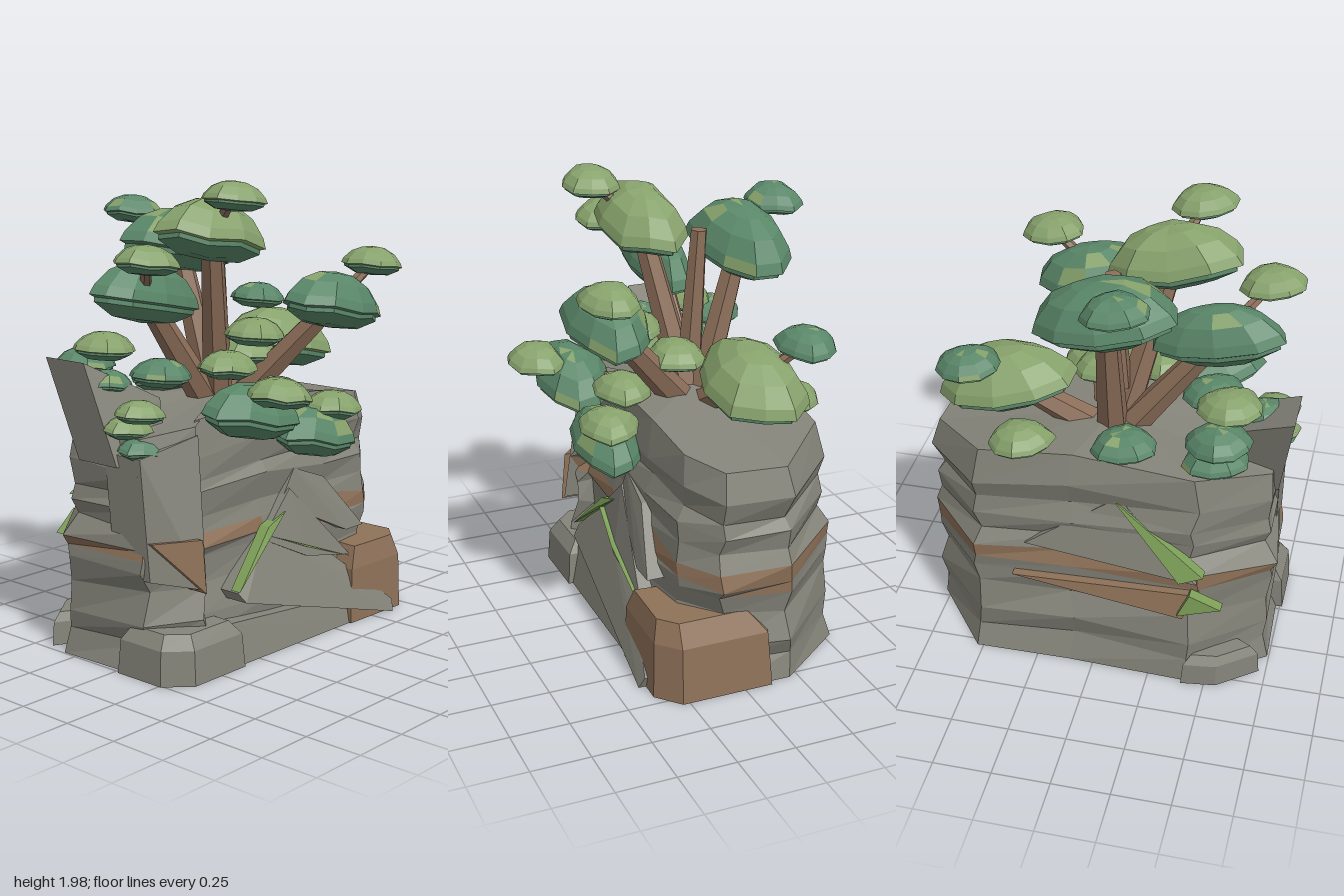
import * as THREE from 'three';
import { ConvexGeometry } from 'three/addons/geometries/ConvexGeometry.js';

const mat = (name, color) => {
  const m = new THREE.MeshStandardMaterial({ color });
  m.name = name;
  return m;
};
const stone = mat('grey stone', 0x85847a);
const clay = mat('brown stone', 0x8f7259);
const bark = mat('bark', 0x8d6f5a);
const darkLeaf = mat('dark green leaves', 0x5a8769);
const lightLeaf = mat('light green leaves', 0x87a26c);
const grass = mat('grass', 0x7d9f58);

let seed = 7;
const rnd = () => (seed = (seed * 16807) % 2147483647) / 2147483647;
const vec = (a) => new THREE.Vector3(...a);

// Faceted copy of a geometry
function facet(geo) {
  const g = geo.index ? geo.toNonIndexed() : geo;
  g.computeVertexNormals();
  return g;
}

export function createModel() {
  seed = 7;
  const root = new THREE.Group();
  root.name = 'cliffWithTree';
  const add = (name, geo, material) => {
    const m = new THREE.Mesh(geo, material);
    m.name = name;
    root.add(m);
    return m;
  };

  // Main cliff: uneven stone layers stacked on one outline of [x, z]
  const outline = [[-0.71, 0.1], [-0.52, 0.24], [-0.47, 0.18], [-0.1, 0.22], [0.3, 0.22], [0.6, 0.2],
    [0.76, 0.08], [0.78, -0.22], [0.52, -0.52], [0.1, -0.53], [-0.43, -0.56], [-0.73, -0.32]];
  const heights = [0, 0.12, 0.21, 0.34, 0.43, 0.48, 0.55, 0.62, 0.7, 0.77, 0.86, 1];
  const n = outline.length, last = heights.length - 1;
  const rings = heights.map((f, k) => {
    const jitter = () => (k === last ? 0 : (rnd() - 0.5) * 0.035);
    const ledge = k === 5 || k === 6 ? 1.02 : k % 2 ? 0.97 : 1;
    return outline.map(([x, z]) => [
      x * ledge + jitter(),
      f * (1.06 - 0.17 * x * x) + (k ? jitter() : 0),
      z * ledge * (z > 0 ? 1.25 - 0.3 * f : 1 - 0.13 * f) + jitter(),
    ]);
  });
  const grey = [], band = [];
  for (let k = 0; k < last; k++) {
    for (let i = 0; i < n; i++) {
      const j = (i + 1) % n;
      const a = rings[k][i], b = rings[k][j], c = rings[k + 1][j], d = rings[k + 1][i];
      const brown = k === 5 && i !== 3;
      const streak = k === 4 && i % 3 === 0;
      (brown || streak ? band : grey).push(...a, ...b, ...c);
      (brown ? band : grey).push(...a, ...c, ...d);
    }
  }
  for (let i = 0; i < n; i++) {
    const j = (i + 1) % n;
    grey.push(0, 1.06, -0.1, ...rings[last][i], ...rings[last][j]);
    grey.push(0, 0, -0.1, ...rings[0][j], ...rings[0][i]);
  }
  const soup = (arr) => {
    const g = new THREE.BufferGeometry();
    g.setAttribute('position', new THREE.Float32BufferAttribute(arr, 3));
    return facet(g);
  };
  add('cliff', soup(grey), stone);
  add('brownStratum', soup(band), clay);

  // Slab: an outer face given by corners, sunk into the cliff by a depth along z
  const slab = (name, material, depth, corners) => add(name, new ConvexGeometry(
    corners.flatMap(([x, y, z]) => [vec([x, y, z]), vec([x, y, z - depth])])), material);
  slab('leftSpire', stone, 0.22, [[-0.79, 1.27, -0.12], [-0.48, 1.1, 0], [-0.5, 0.85, 0.05], [-0.73, 0.85, 0]]);
  slab('leftColumn', stone, 0.2, [[-0.72, 0.9, 0.12], [-0.5, 0.98, 0.23], [-0.54, 0.36, 0.31], [-0.71, 0.4, 0.16]]);
  slab('leftBrownWedge', clay, 0.1, [[-0.71, 0.56, 0.17], [-0.55, 0.57, 0.3], [-0.55, 0.35, 0.32]]);
  slab('lowerSlab', stone, 0.2, [[-0.35, 0.3, 0.31], [-0.13, 0.5, 0.26], [0.28, 0.33, 0.29], [0.63, 0.05, 0.38], [0.61, 0, 0.4], [-0.33, 0.26, 0.34]]);
  slab('frontFoot', stone, 0.2, [[-0.42, 0.18, 0.3], [-0.4, 0, 0.34], [0.4, 0, 0.35], [0.35, 0.12, 0.32]]);
  slab('gableSlab', stone, 0.15, [[-0.15, 0.48, 0.27], [0.05, 0.66, 0.25], [0.4, 0.3, 0.31], [0.1, 0.36, 0.31]]);
  slab('upperSlab', stone, 0.12, [[0, 0.6, 0.24], [0.09, 0.74, 0.24], [0.28, 0.67, 0.25], [0.49, 0.42, 0.31], [0.37, 0.42, 0.31]]);
  slab('backSlab', stone, -0.15, [[-0.1, 0.88, -0.46], [-0.45, 0.55, -0.55], [0.3, 0.6, -0.5]]);
  slab('backBrownLedge', clay, -0.15, [[-0.46, 0.5, -0.56], [-0.4, 0.38, -0.58], [0.35, 0.45, -0.54]]);

  // Boulder: a footprint of [x, z] rising straight, then closing in to a flat top
  const boulder = (name, material, height, cx, cz, footprint) => {
    const steps = [[0, 1], [0.72, 0.95], [1, 0.75]];
    const pts = steps.flatMap(([f, s]) => footprint.map(([x, z]) => vec([cx + (x - cx) * s, f * height, cz + (z - cz) * s])));
    add(name, new ConvexGeometry(pts), material);
  };
  boulder('brownBoulder', clay, 0.34, 0.56, 0.26, [[0.35, 0.36], [0.7, 0.37], [0.8, 0.28], [0.8, -0.12], [0.6, -0.18], [0.38, 0]]);
  boulder('greyBoulder', stone, 0.2, -0.55, 0.15, [[-0.76, 0.26], [-0.66, 0.36], [-0.36, 0.36], [-0.36, 0], [-0.76, 0.02]]);
  boulder('backBoulder', stone, 0.14, -0.55, -0.42, [[-0.72, -0.42], [-0.55, -0.55], [-0.4, -0.57], [-0.5, -0.3]]);

  // Grass growing along the cracks
  slab('frontGrassLeft', grass, 0.05, [[-0.36, 0.31, 0.33], [-0.12, 0.53, 0.28], [0, 0.57, 0.27], [-0.15, 0.47, 0.3]]);
  slab('frontGrassRight', grass, 0.05, [[-0.14, 0.5, 0.29], [0.38, 0.3, 0.325], [0.1, 0.4, 0.32]]);
  slab('backGrass', grass, -0.05, [[-0.08, 0.87, -0.47], [-0.38, 0.56, -0.57], [-0.48, 0.6, -0.56]]);
  slab('backGrassPatch', grass, -0.05, [[-0.43, 0.52, -0.59], [-0.56, 0.44, -0.56], [-0.38, 0.41, -0.6]]);

  // Tapered branch between two points
  function branch(from, to, r) {
    const a = vec(from), d = vec(to).sub(a);
    const m = add('branch', facet(new THREE.CylinderGeometry(r * 0.65, r, d.length(), 6)), bark);
    m.position.copy(a).addScaledVector(d, 0.5);
    m.quaternion.setFromUnitVectors(new THREE.Vector3(0, 1, 0), d.normalize());
  }

  // Leaf pad: domed top, stepped rim and dark underside
  const profile = [[0, -0.75], [0.55, -0.66], [0.9, -0.33], [0.9, -0.2], [1, -0.14], [0.93, 0.15], [0.7, 0.62], [0.36, 0.92], [0, 1]]
    .map(([x, y]) => new THREE.Vector2(x, y));
  const rows = profile.length - 1, sides = 10;
  function leafPad(position, rx, rz, tilt, isLight) {
    const g = new THREE.LatheGeometry(profile, sides);
    const p = g.attributes.position, phase = rnd() * 6;
    for (let i = 0; i < p.count; i++) {
      const x = p.getX(i), z = p.getZ(i), t = Math.atan2(x, z);
      const s = 1 + 0.05 * Math.sin(3 * t + phase) + 0.03 * Math.sin(4 * t - phase);
      p.setXYZ(i, x * s, p.getY(i) + 0.07 * Math.hypot(x, z) * Math.sin(5 * t + phase), z * s);
    }
    g.scale(rx, rx * 0.5, rz);
    const f = facet(g);
    for (let q = 0; q < rows * sides; q++) {
      const top = q % rows >= 3;
      f.addGroup(q * 6, 6, top && (isLight || rnd() < 0.06) ? 1 : 0);
    }
    const m = add('leafPad', f, [darkLeaf, lightLeaf]);
    m.position.set(...position);
    m.rotation.z = tilt;
  }

  // Large pads on branches, each with a small pad: [centre, x radius, z radius, light, small centre, small light]
  const crown = [
    [[-0.22, 1.75, 0.05], 0.29, 0.18, true, [-0.3, 1.91, 0.24], true],
    [[-0.02, 1.67, -0.33], 0.31, 0.2, false, [-0.1, 1.81, -0.52], false],
    [[-0.44, 1.5, -0.12], 0.29, 0.13, false, [-0.62, 1.67, 0.07], true],
    [[0.19, 1.45, 0.36], 0.27, 0.17, false, [0.39, 1.61, 0.42], true],
    [[0.45, 1.21, -0.17], 0.3, 0.21, true, [0.55, 1.38, -0.36], false],
    [[0.1, 0.9, 0.34], 0.24, 0.14, false, [0.2, 1.01, 0.36], true],
    [[-0.31, 1.05, 0.34], 0.26, 0.16, false, [-0.31, 1.15, 0.5], true],
  ];
  for (const [centre, rx, rz, isLight, small, smallLight] of crown) {
    branch([centre[0] * 0.1, 0.97, -0.1 + centre[2] * 0.1], centre, 0.07);
    branch(centre, small, 0.03);
    leafPad(centre, rx, rz, -0.2, isLight);
    leafPad(small, 0.14, 0.125, -0.13, smallLight);
  }
  branch([-0.02, 1.2, -0.1], [0, 1.74, -0.13], 0.055);
  branch([-0.4, 0.98, 0.02], [-0.66, 0.93, 0.05], 0.03);

  // Undergrowth around the trunk and along the cliff edge
  const lightBushes = [[-0.18, 1.2, 0.1], [-0.06, 1.33, 0.15], [0.06, 1.22, 0], [-0.52, 1.28, -0.28],
    [0.33, 1.07, -0.4], [-0.66, 1.07, 0.06], [-0.67, 1, 0], [0, 1.08, 0.22]];
  const darkBushes = [[-0.42, 1.18, -0.05], [-0.5, 1.2, -0.42], [-0.48, 1.07, -0.36], [-0.1, 1.08, -0.36],
    [-0.65, 0.92, 0.06], [-0.65, 1.17, -0.13]];
  const bush = (centre, isLight) => {
    // Bushes hanging over the left edge are smaller
    const r = centre[0] < -0.6 ? 0.11 : 0.14;
    leafPad(centre, r, r * 0.9, -0.1, isLight);
  };
  lightBushes.forEach((c) => bush(c, true));
  darkBushes.forEach((c) => bush(c, false));

  return root;
}
